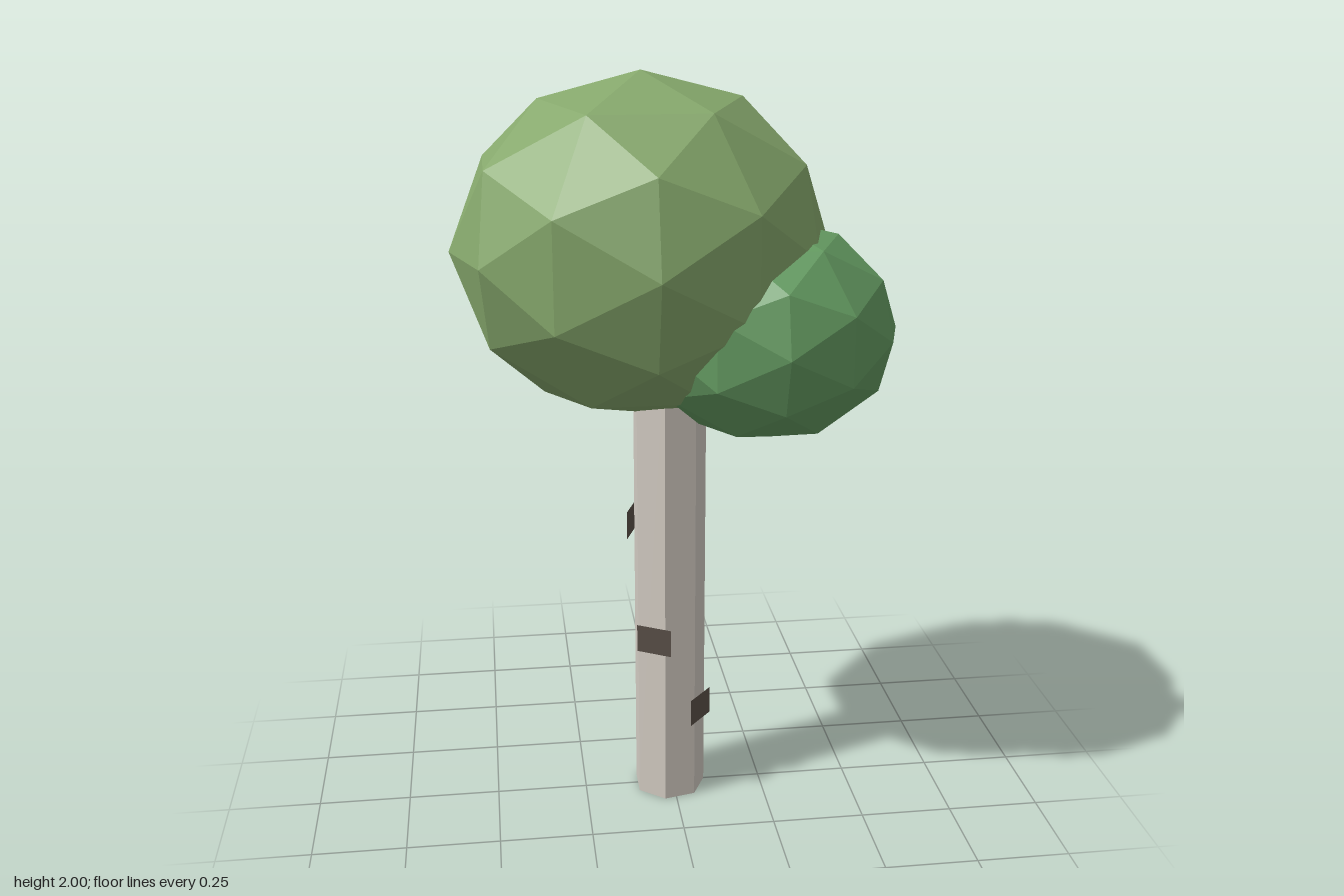
import * as THREE from 'three';

const mat = (color, side = THREE.FrontSide) =>
  new THREE.MeshStandardMaterial({ color, flatShading: true, side });

export function createModel() {
  const tree = new THREE.Group();
  tree.name = 'tree';

  const add = (name, geometry, material, x, y, z, parent = tree) => {
    const mesh = new THREE.Mesh(geometry, material);
    mesh.name = name;
    mesh.position.set(x, y, z);
    parent.add(mesh);
    return mesh;
  };

  // Seven-sided trunk, one corner towards +x, its top hidden in the foliage
  const trunkX = -0.01, trunkHeight = 1.3;
  const trunkGeo = new THREE.CylinderGeometry(0.1, 0.1, trunkHeight, 7).rotateY(Math.PI / 2);
  add('trunk', trunkGeo, mat(0xd2cbc2), trunkX, trunkHeight / 2, 0);

  // Thin dark bark patches winding up the trunk, 80 degrees apart
  const bark = new THREE.Group();
  bark.name = 'barkPatches';
  tree.add(bark);
  const patchGeo = new THREE.PlaneGeometry(0.1, 0.078);
  const patchMat = mat(0x5a5048, THREE.DoubleSide);
  [0.27, 0.492, 0.802, 1.027].forEach((y, i) => {
    const a = THREE.MathUtils.degToRad(40 + 80 * i);
    const r = 0.1045;
    const patch = add('barkPatch' + (i + 1), patchGeo, patchMat,
      trunkX + r * Math.cos(a), y, r * Math.sin(a), bark);
    patch.rotation.y = Math.PI / 2 - a;
  });

  // Faceted foliage: a large crown and a smaller clump on its left front
  const foliage = (name, color, [x, y, z], [rx, ry, rz]) =>
    add(name, new THREE.IcosahedronGeometry(1, 1).scale(rx, ry, rz), mat(color), x, y, z);
  foliage('crown', 0x86a86c, [-0.08, 1.56, 0], [0.487, 0.44, 0.443]);
  foliage('sideFoliage', 0x659c62, [0.23, 1.36, 0.11], [0.335, 0.286, 0.308]);

  return tree;
}
